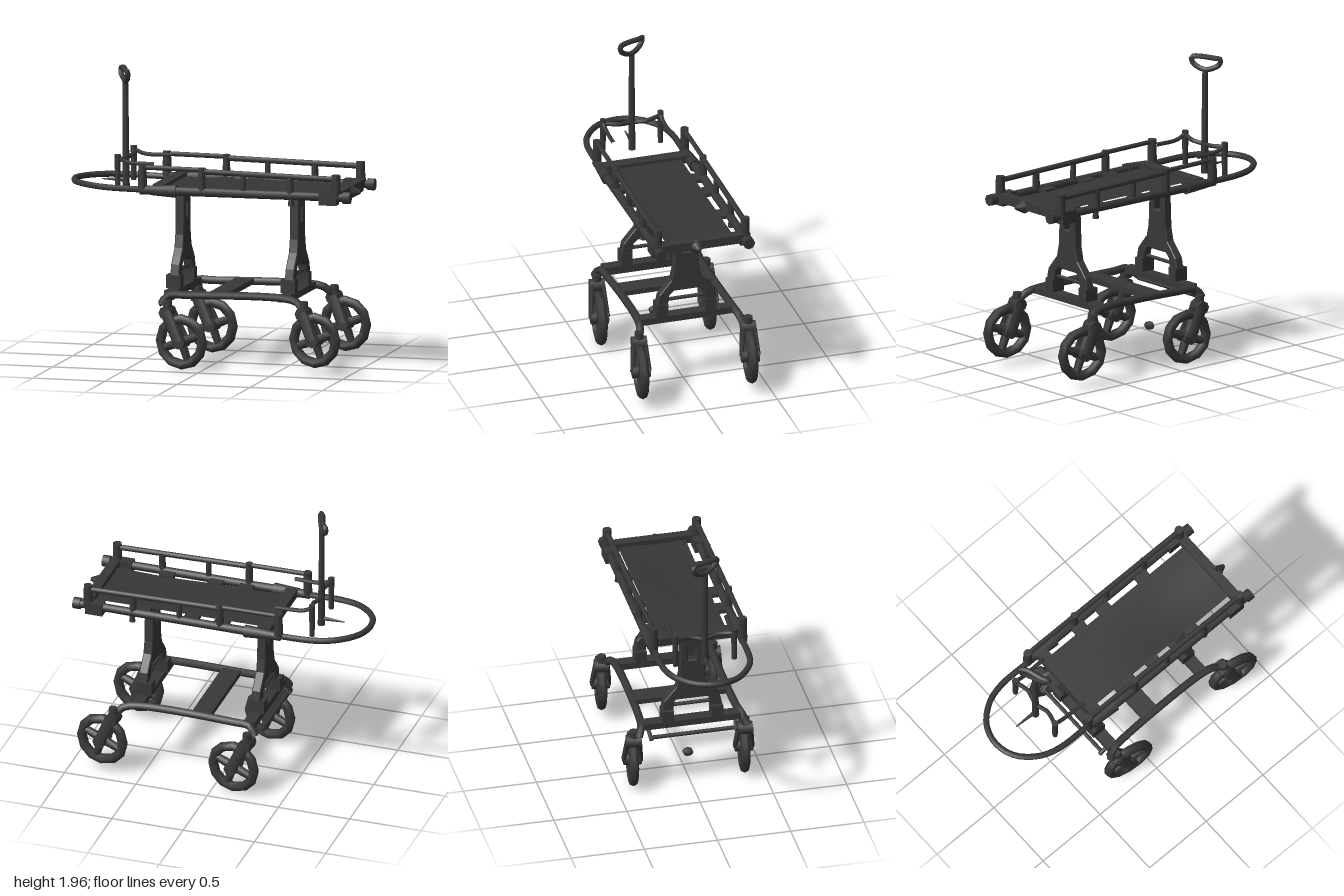
import * as THREE from 'three';

export function createModel() {
  const root = new THREE.Group();
  root.name = 'wheeledStretcher';
  const dark = new THREE.MeshStandardMaterial({ color: 0x383838 });
  dark.name = 'darkMetal';
  const sheet = new THREE.MeshStandardMaterial({ color: 0x363636, side: THREE.DoubleSide });
  sheet.name = 'darkSheet';
  const V = (a) => new THREE.Vector3(...a);

  const add = (name, geo, pos = [0, 0, 0], parent = root, mat = dark) => {
    const m = new THREE.Mesh(geo, mat);
    m.name = name;
    m.position.set(...pos);
    parent.add(m);
    return m;
  };
  const box = (name, size, pos, parent) => add(name, new THREE.BoxGeometry(...size), pos, parent);
  // round bar between two points
  const bar = (name, a, b, r, r2 = r, parent = root) => {
    const p = V(a), q = V(b), d = q.clone().sub(p);
    const m = add(name, new THREE.CylinderGeometry(r2, r, d.length(), 8), p.clone().add(q).multiplyScalar(0.5).toArray(), parent);
    m.quaternion.setFromUnitVectors(new THREE.Vector3(0, 1, 0), d.normalize());
    return m;
  };
  const tube = (name, pts, r, closed = false, segs = 24) =>
    add(name, new THREE.TubeGeometry(new THREE.CatmullRomCurve3(pts.map(V), closed, 'centripetal'), segs, r, 7, closed));

  // Caster: kingpin, fork blades, spoked wheel
  const caster = (wx, wy, z, px, py) => {
    const g = new THREE.Group();
    g.name = 'caster';
    g.position.set(wx, wy, z);
    g.rotation.y = -0.14;
    root.add(g);
    add('tyre', new THREE.TorusGeometry(0.153, 0.034, 7, 12), [0, 0, 0], g);
    const hub = add('hub', new THREE.CylinderGeometry(0.045, 0.045, 0.12, 8), [0, 0, 0], g);
    hub.rotation.x = Math.PI / 2;
    for (let i = 0; i < 4; i++) {
      const a = 0.35 + i * Math.PI / 2;
      bar('spoke', [0, 0, 0], [0.15 * Math.cos(a), 0.15 * Math.sin(a), 0], 0.032, 0.025, g);
    }
    const dx = px - wx, dy = py - wy;
    for (const s of [-1, 1]) {
      const blade = bar('forkBlade', [0, 0, s * 0.058], [dx, dy, s * 0.038], 0.036, 0.042, g);
      blade.scale.z = 0.4;
    }
    bar('forkCrown', [dx, dy - 0.01, -0.05], [dx, dy - 0.01, 0.05], 0.045, 0.045, g);
    bar('kingpin', [dx, dy - 0.02, 0], [dx, dy + 0.07, 0], 0.035, 0.03, g);
  };
  for (const s of [-1, 1]) {
    caster(-0.145, 0.187, s * 0.38, -0.245, 0.39);
    caster(0.775, 0.235, s * 0.38, 0.695, 0.42);
    // Base side rail, bending down to the casters
    tube('baseRail', [[-0.29, 0.43, s * 0.37], [-0.25, 0.49, s * 0.345], [-0.12, 0.495, s * 0.33], [0.54, 0.5, s * 0.33],
      [0.64, 0.48, s * 0.345], [0.7, 0.42, s * 0.37]], 0.027);
  }
  // Base cross members
  for (const x of [-0.24, 0.55]) {
    box('baseCrossBeam', [0.08, 0.045, 0.66], [x, 0.495, 0]);
    bar('archTie', [x, 0.625, -0.13], [x, 0.625, 0.13], 0.013);
  }
  box('midCrossBeam', [0.13, 0.035, 0.64], [0.1, 0.505, 0]);
  bar('brakeBar', [-0.3, 0.425, -0.29], [-0.3, 0.425, 0.29], 0.014);
  for (const s of [-1, 1]) bar('brakeBracket', [-0.32, 0.415, s * 0.29], [-0.22, 0.49, s * 0.3], 0.014);
  const pedal = add('pedal', new THREE.SphereGeometry(0.04, 6, 4), [-0.145, 0.185, 0]);
  pedal.scale.set(0.8, 0.75, 1);

  // Arched pillars with a window near the top
  const half = [[0.2, 0.49], [0.2, 0.6], [0.185, 0.67], [0.14, 0.725], [0.1, 0.77], [0.08, 0.86], [0.068, 1.14]];
  const inner = [[0.09, 0.7], [0.125, 0.665], [0.135, 0.6], [0.14, 0.49]];
  const outline = [...half, ...half.map(([a, b]) => [-a, b]).reverse(),
    ...inner.map(([a, b]) => [-a, b]).reverse(), ...inner];
  const pillar = new THREE.Shape(outline.map((p) => new THREE.Vector2(...p)));
  pillar.holes.push(new THREE.Path([[-0.035, 0.965], [-0.035, 1.075], [0.035, 1.075], [0.035, 0.965]]
    .map((p) => new THREE.Vector2(...p))));
  const pillarGeo = new THREE.ExtrudeGeometry(pillar, {
    depth: 0.05, bevelEnabled: true, bevelSize: 0.006, bevelThickness: 0.006, bevelSegments: 1 });
  pillarGeo.translate(0, 0, -0.025).rotateY(Math.PI / 2);
  for (const x of [-0.24, 0.55]) {
    add('pillar', pillarGeo, [x, 0, 0]);
    for (const s of [-1, 1]) {
      box('pillarFoot', [0.1, 0.09, 0.075], [x - 0.01, 0.56, s * 0.168]);
    }
  }

  // Slightly sagging deck sheet
  const deck = new THREE.PlaneGeometry(1.24, 0.46, 8, 4).rotateX(-Math.PI / 2);
  const dp = deck.attributes.position;
  for (let i = 0; i < dp.count; i++) {
    const u = dp.getX(i) / 0.62, w = dp.getZ(i) / 0.23;
    dp.setY(i, -0.035 * Math.max(0, 1 - Math.hypot((u - 0.4) * 1.3, w - 0.3)));
  }
  deck.computeVertexNormals();
  add('deck', deck, [0.26, 1.2, -0.005], root, sheet);

  // Deck frame ends and under-deck slats
  box('headBar', [0.08, 0.055, 0.58], [-0.33, 1.195, 0]);
  box('footBar', [0.065, 0.06, 0.6], [0.905, 1.2, 0]);
  bar('footLatch', [0.92, 1.19, 0.04], [0.995, 1.19, 0.04], 0.05, 0.012);
  for (const x of [-0.02, 0.19, 0.53]) {
    for (const s of [-1, 1]) box('deckTab', [0.1, 0.025, 0.09], [x, 1.19, s * 0.26]);
  }

  for (const s of [-1, 1]) {
    const z = s * 0.305;
    // Lower rail with knuckles
    bar('lowerRail', [-0.45, 1.185, z], [0.99, 1.19, z], 0.03, 0.028);
    bar('railEnd', [0.95, 1.19, z], [1.0, 1.19, z], 0.04);
    bar('frontKnuckle', [-0.38, 1.185, z], [-0.2, 1.185, z], 0.032, 0.044);
    box('rearKnuckle', [0.12, 0.085, 0.07], [0.85, 1.18, z]);
    bar('hanger', [0.59, 1.12, z], [0.59, 1.18, z], 0.022, 0.016);
    // Guard rail and posts
    bar('guardRail', [-0.03, 1.325, z], [0.92, 1.31, z], 0.019);
    bar('guardRailHead', [-0.45, 1.338, z], [0, 1.335, z], 0.016);
    for (const [x, top, r] of [[-0.435, 1.355, 0.028], [-0.025, 1.35, 0.024], [0.26, 1.32, 0.018], [0.585, 1.32, 0.022], [0.9, 1.34, 0.03]]) {
      bar('guardPost', [x, 1.19, z], [x, top, z], r * 1.15, r);
    }
    // Head bracket
    bar('headPost', [-0.635, 1.17, s * 0.2], [-0.635, 1.4, s * 0.2], 0.018, 0.022);
    tube('headArm', [[-0.635, 1.38, s * 0.2], [-0.57, 1.35, s * 0.2], [-0.38, 1.345, s * 0.205]], 0.014, false, 8);
  }

  // Looped push bar
  tube('pushLoop', [[-0.4, 1.185, 0.3], [-0.68, 1.19, 0.295], [-0.82, 1.195, 0.25], [-0.94, 1.198, 0.14], [-0.98, 1.2, 0],
    [-0.94, 1.198, -0.14], [-0.82, 1.195, -0.25], [-0.68, 1.19, -0.295], [-0.4, 1.185, -0.3]], 0.021, false, 32);

  // Upright handle with closed grip
  tube('headCrossBar', [[-0.635, 1.37, -0.2], [-0.61, 1.36, -0.1], [-0.63, 1.35, 0], [-0.61, 1.36, 0.1], [-0.635, 1.37, 0.2]], 0.015);
  bar('handleStem', [-0.632, 1.15, 0], [-0.637, 1.86, 0], 0.025, 0.019);
  bar('stemSpike', [-0.62, 1.2, 0], [-0.8, 1.2, -0.005], 0.016, 0.004);
  tube('handleGrip', [[-0.638, 1.86, 0], [-0.615, 1.875, 0.05], [-0.6, 1.9, 0.082], [-0.598, 1.938, 0.092], [-0.62, 1.945, 0.06],
    [-0.665, 1.945, -0.06], [-0.692, 1.938, -0.092], [-0.69, 1.9, -0.082], [-0.665, 1.875, -0.05]], 0.018, true, 30);

  return root;
}
